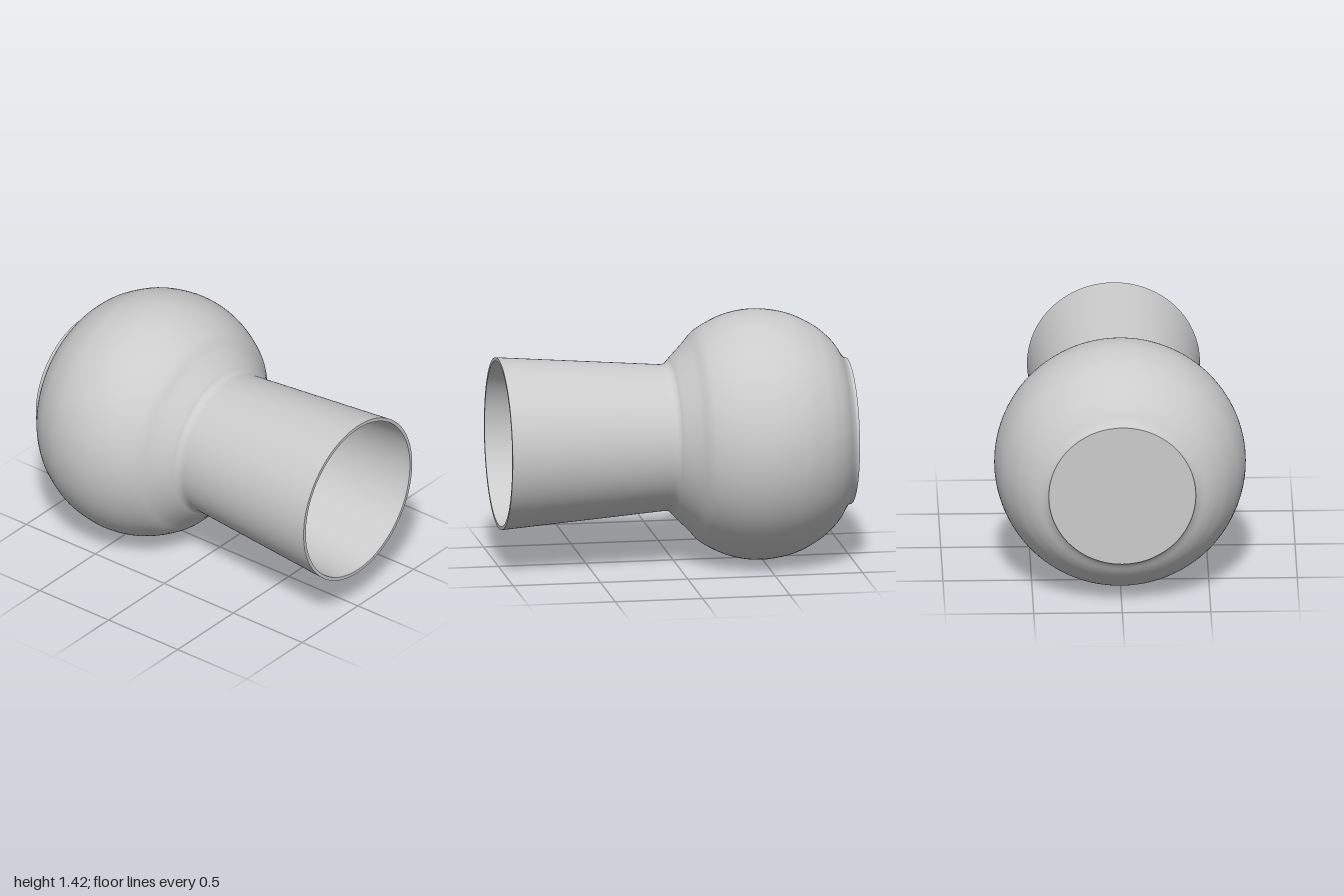
import * as THREE from 'three';

const WALL = 0.02;
const SEGMENTS = 128;
const CENTRE_Y = 0.71;

// Outer profile as [radius, position along the axis], from base to neck
const BULB = [
  [0.415, -1], [0.418, -0.985], [0.429, -0.973], [0.45, -0.957], [0.5, -0.926],
  [0.552, -0.88], [0.615, -0.8], [0.682, -0.66], [0.71, -0.48], [0.684, -0.31],
  [0.609, -0.155], [0.533, -0.08], [0.453, 0], [0.428, 0.022], [0.416, 0.045], [0.415, 0.075],
];
const RIM_RADIUS = 0.488;

export function createModel() {
  const group = new THREE.Group();
  const material = new THREE.MeshStandardMaterial({ color: 0xcccccc });

  // Revolve a profile around the z axis
  const addLathe = (name, points) => {
    const geometry = new THREE.LatheGeometry(points, SEGMENTS);
    geometry.rotateX(Math.PI / 2);
    const mesh = new THREE.Mesh(geometry, material);
    mesh.name = name;
    mesh.position.y = CENTRE_Y;
    group.add(mesh);
  };
  const v = (r, z) => new THREE.Vector2(r, z);

  // Outer skin, and an inner skin set in by the wall thickness
  const curve = new THREE.SplineCurve(BULB.map(([r, z]) => v(r, z)));
  const outer = [];
  const inner = [];
  const steps = 90;
  for (let i = 0; i <= steps; i++) {
    const p = curve.getPoint(i / steps);
    const t = curve.getTangent(i / steps);
    outer.push(p);
    const q = v(p.x - t.y * WALL, p.y + t.x * WALL);
    if (q.y > -1 + WALL + 0.002) inner.push(q);
  }
  outer.push(v(RIM_RADIUS, 1));
  inner.unshift(v(0.395, -1 + WALL));
  inner.push(v(RIM_RADIUS - WALL, 1));

  addLathe('outerWall', outer);
  addLathe('innerWall', inner.reverse());
  addLathe('rim', [v(RIM_RADIUS, 1), v(RIM_RADIUS - WALL, 1)]);
  addLathe('innerFloor', [v(0.395, -1 + WALL), v(0, -1 + WALL)]);
  addLathe('base', [v(0, -1), v(0.415, -1)]);

  return group;
}
